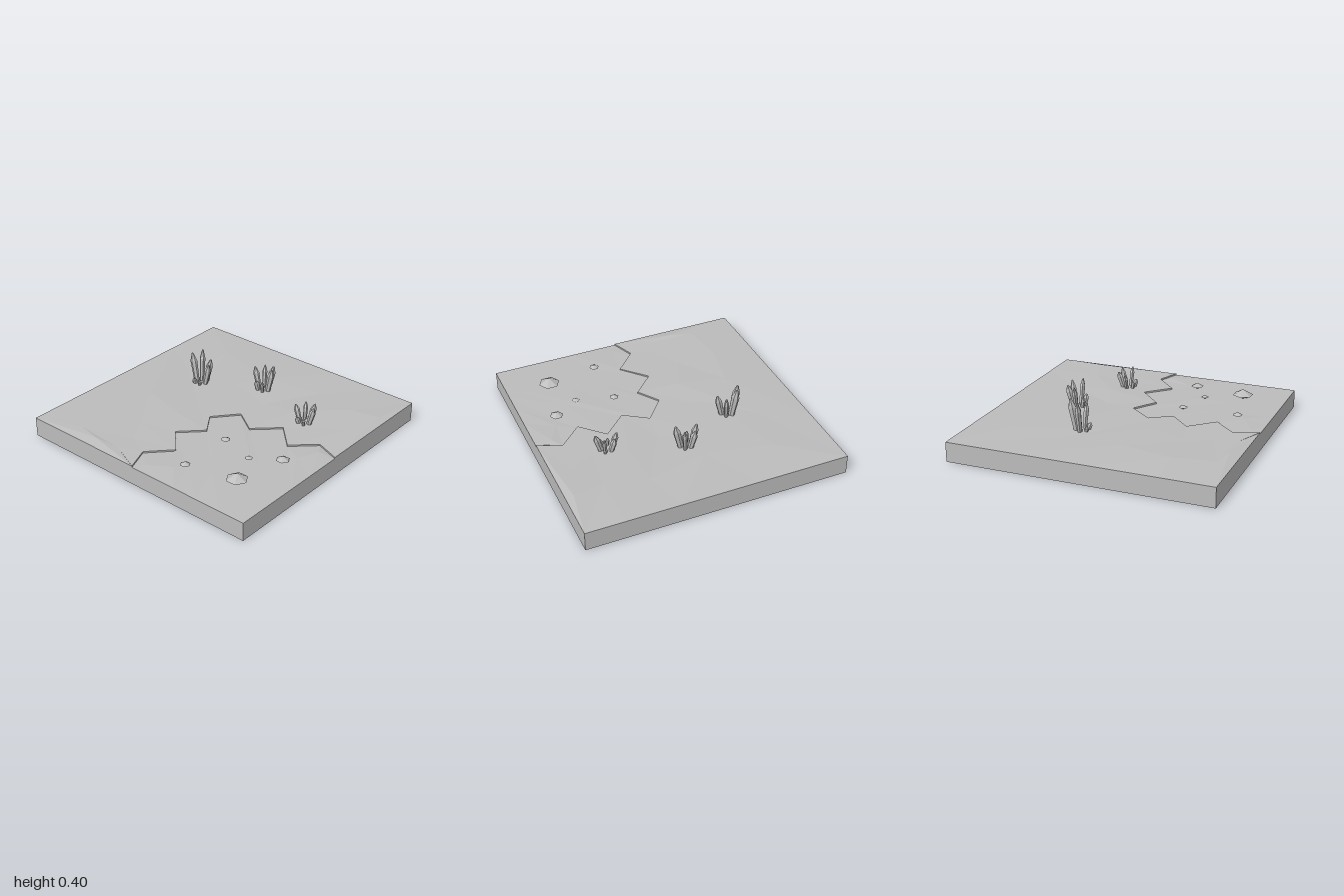
import * as THREE from 'three';

const stone = new THREE.MeshStandardMaterial({ color: 0xbcbcbc, flatShading: true, side: THREE.DoubleSide });
stone.name = 'grey stone';

// Zigzag bank between the raised ground and the sunken bed, as [x, z]
const bank = [[0, 1], [-0.07, 0.82], [0.09, 0.65], [-0.08, 0.47], [0.08, 0.31], [-0.03, 0.15],
  [0.12, -0.03], [0.3, 0.09], [0.48, -0.08], [0.65, 0.09], [0.82, -0.07], [1, 0]];
const groundEdge = [[0, 1], [-0.6, 1], [-1, 1], [-1, 0.6], [-1, 0.1], [-1, -0.5],
  [-1, -1], [-0.3, -1], [0.3, -1], [0.7, -1], [1, -1], [1, 0]];
const bedEdge = [[0, 1], [0.2, 1], [0.4, 1], [0.6, 1], [0.8, 1], [1, 1],
  [1, 0.8], [1, 0.65], [1, 0.5], [1, 0.3], [1, 0.15], [1, 0]];

function add(parent, name, geometry) {
  const mesh = new THREE.Mesh(geometry, stone);
  mesh.name = name;
  parent.add(mesh);
  return mesh;
}

function seeded(seed) {
  return () => {
    seed = (seed * 16807) % 2147483647;
    return seed / 2147483647;
  };
}

// Surface through a list of rows of [x, y, z], each with the same point count
function skin(rows) {
  const n = rows[0].length;
  const index = [];
  for (let j = 0; j < rows.length - 1; j++) {
    for (let i = 0; i < n - 1; i++) {
      const a = j * n + i;
      const c = a + n;
      index.push(a, c, a + 1, a + 1, c, c + 1);
    }
  }
  const geometry = new THREE.BufferGeometry();
  geometry.setAttribute('position', new THREE.Float32BufferAttribute(rows.flat(2), 3));
  geometry.setIndex(index);
  geometry.computeVertexNormals();
  return geometry;
}

const level = (line, y) => line.map(([x, z]) => [x, y, z]);

// Uneven row part of the way from one line to another
function roughRow(from, to, t, y, bump, random) {
  return from.map(([x, z], i) => {
    const end = i === 0 || i === from.length - 1;
    const j = () => (end ? 0 : (random() - 0.5) * 0.08);
    return [
      x + (to[i][0] - x) * t + j(),
      y + (end ? 0 : random() * bump),
      z + (to[i][1] - z) * t + j(),
    ];
  });
}

// Six-sided crystal with a tapered foot and pointed tip
function crystal(height) {
  const r = 0.016 + height * 0.06;
  const profile = [[0, 0], [r * 0.75, 0], [r, height * 0.72], [r * 0.3, height * 0.97], [0, height]];
  return new THREE.LatheGeometry(profile.map(([x, y]) => new THREE.Vector2(x, y)), 6);
}

// Ring of six crystals leaning outwards; tops start at +x and go round by the back
function cluster(x, z, tops) {
  const group = new THREE.Group();
  group.name = 'crystalCluster';
  group.position.set(x, 0.145, z);
  tops.forEach((top, i) => {
    const pivot = new THREE.Group();
    pivot.name = 'crystalPivot';
    pivot.rotation.y = (i * Math.PI) / 3;
    const height = top - 0.145;
    const mesh = add(pivot, 'crystal', crystal(height));
    const reach = i < 4 ? 0.045 : 0.022;
    mesh.position.x = 0.04;
    mesh.rotation.z = -Math.atan2(reach, height);
    mesh.scale.z = 0.7;
    group.add(pivot);
  });
  return group;
}

export function createModel() {
  const model = new THREE.Group();
  model.name = 'crystalGroundTile';
  const random = seeded(7);

  // Square slab
  const slab = add(model, 'slab', new THREE.BoxGeometry(2, 0.14, 2));
  slab.position.y = 0.07;

  // Raised ground with its outer skirt and the small step at the bank
  add(model, 'raisedGround', skin([
    level(groundEdge, 0.14),
    level(groundEdge, 0.15),
    roughRow(groundEdge, bank, 0.36, 0.15, 0.018, random),
    roughRow(groundEdge, bank, 0.7, 0.15, 0.018, random),
    level(bank, 0.153),
    level(bank, 0.14),
  ]));

  // Sunken bed
  add(model, 'sunkenBed', skin([
    level(bank, 0.141),
    roughRow(bank, bedEdge, 0.5, 0.141, 0.01, random),
    level(bedEdge, 0.141),
  ]));

  // Six-sided pebbles lying in the bed
  for (const [x, z, r] of [[0.67, 0.67, 0.08], [0.75, 0.27, 0.05], [0.27, 0.32, 0.035],
    [0.55, 0.4, 0.03], [0.27, 0.75, 0.038]]) {
    const profile = [[0, -0.4 * r], [r, 0], [0, 0.55 * r]].map(([a, b]) => new THREE.Vector2(a, b));
    const pebble = add(model, 'pebble', new THREE.LatheGeometry(profile, 6));
    pebble.position.set(x, 0.145 + 0.33 * r, z);
    pebble.rotation.y = Math.PI / 6;
  }

  // Crystal clusters
  model.add(cluster(-0.43, -0.2, [0.34, 0.345, 0.405, 0.39, 0.2, 0.21]));
  model.add(cluster(0.01, -0.43, [0.355, 0.345, 0.33, 0.33, 0.24, 0.25]));
  model.add(cluster(0.55, -0.24, [0.305, 0.3, 0.29, 0.285, 0.21, 0.22]));

  return model;
}
